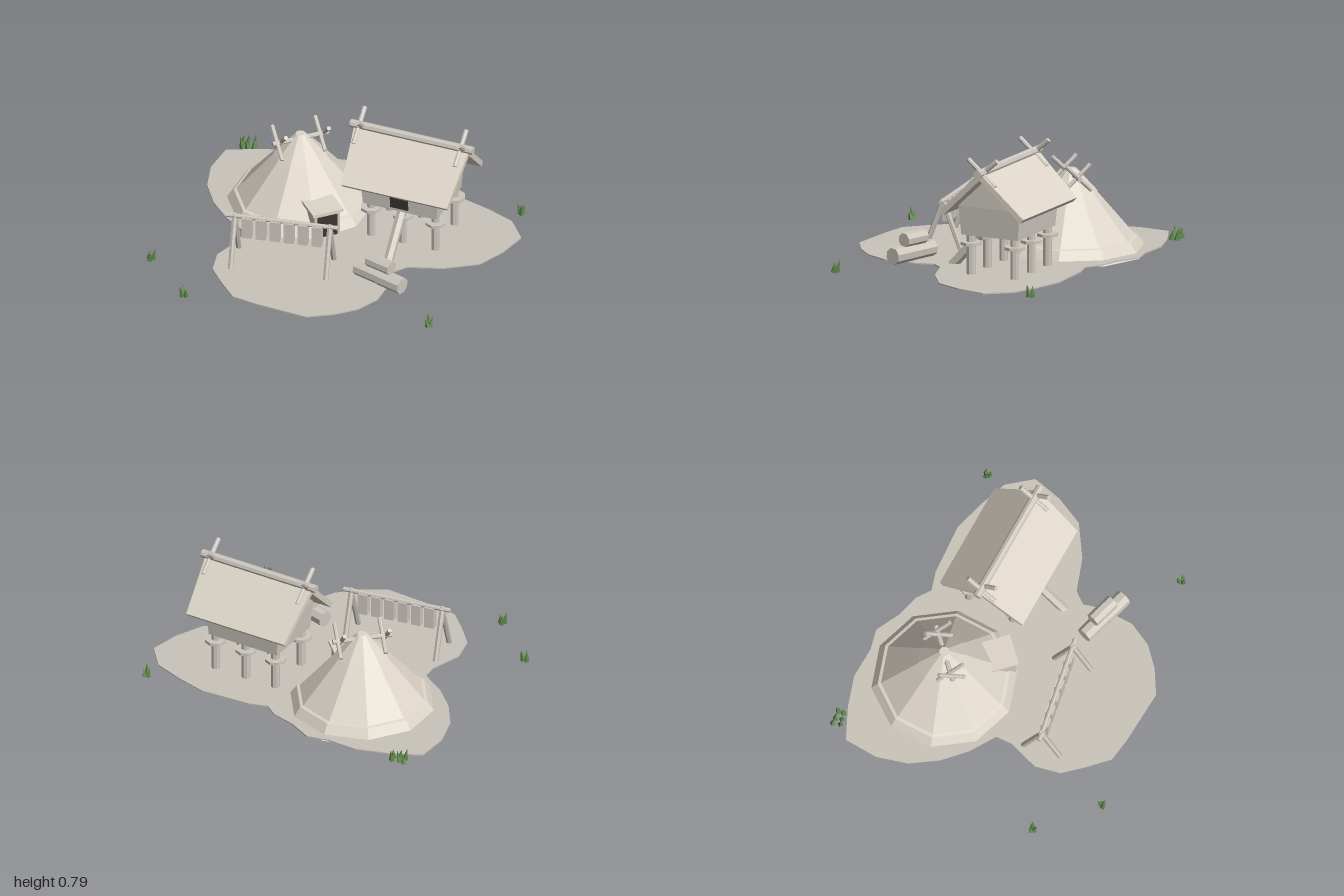
import * as THREE from 'three';

const mat = (name, color) => {
  const m = new THREE.MeshStandardMaterial({ color, flatShading: true });
  m.name = name;
  return m;
};

export function createModel() {
  const earth = mat('earth', 0xcac4ba), thatch = mat('thatch', 0xddd5c9), wood = mat('wood', 0xcdc7be);
  const wall = mat('wall', 0xd0cac1), dark = mat('doorway', 0x3a342d), green = mat('grass', 0x5e8a4c);
  const model = new THREE.Group();
  model.name = 'village';

  const group = (name, x = 0, y = 0, z = 0, parent = model) => {
    const g = new THREE.Group();
    g.name = name;
    g.position.set(x, y, z);
    parent.add(g);
    return g;
  };
  const add = (parent, name, geo, material, x = 0, y = 0, z = 0) => {
    const m = new THREE.Mesh(geo, material);
    m.name = name;
    m.position.set(x, y, z);
    parent.add(m);
    return m;
  };
  const box = (parent, name, w, h, d, material, x, y, z) =>
    add(parent, name, new THREE.BoxGeometry(w, h, d), material, x, y, z);
  // Round pole between two points
  const pole = (parent, name, a, b, r, sides = 8) => {
    const A = new THREE.Vector3(...a), B = new THREE.Vector3(...b), dir = B.clone().sub(A);
    const m = add(parent, name, new THREE.CylinderGeometry(r, r, dir.length(), sides), wood);
    m.position.copy(A).add(B).multiplyScalar(0.5);
    m.quaternion.setFromUnitVectors(new THREE.Vector3(0, 1, 0), dir.normalize());
    return m;
  };
  const lathe = pts => new THREE.LatheGeometry(pts.map(p => new THREE.Vector2(...p)), 10);

  // Ground: thin irregular plate
  const outline = [
    -.99, -.70, -.80, -.79, -.61, -.85, -.42, -.845, -.29, -.875, -.14, -.80, 0, -.765, .085, -.705,
    .20, -.74, .51, -.76, .70, -.71, .88, -.645, 1, -.50, .96, -.315, .88, -.14, .695, -.015,
    .495, .055, .44, .13, .47, .24, .47, .445, .40, .59, .29, .695, .145, .785, -.19, .77,
    -.34, .75, -.455, .64, -.565, .52, -.60, .365, -.54, .175, -.545, .075, -.70, -.02,
    -.835, -.145, -.945, -.305, -1, -.495];
  const pts = [];
  for (let i = 0; i < outline.length; i += 2) pts.push(new THREE.Vector2(outline[i], -outline[i + 1]));
  const groundGeo = new THREE.ExtrudeGeometry(new THREE.Shape(pts), { depth: 0.008, bevelEnabled: false });
  add(model, 'ground', groundGeo.rotateX(-Math.PI / 2), earth, 0, 0.036, 0);

  // Pit house: skirt, conical roof, smoke cap; local +z is the entrance side
  const hut = group('pitHouse', -0.37, 0, -0.37);
  add(hut, 'roofSkirt', lathe([[0, .012], [.46, .012], [.40, .1], [.38, .105]]), thatch);
  add(hut, 'coneRoof', lathe([[.385, .1], [.1, .437]]), thatch);
  add(hut, 'smokeCap', lathe([[.1, .37], [.16, .375], [.03, .52], [0, .52]]), thatch);
  const axis = group('hutAxis', 0, 0, 0, hut);
  axis.rotation.y = Math.PI / 4;
  box(axis, 'entranceWalls', .165, .19, .2, wall, 0, .107, .32);
  box(axis, 'entranceRoof', .195, .018, .22, thatch, 0, .21, .325);
  box(axis, 'entranceDoor', .125, .14, .006, dark, 0, .115, .423);
  pole(axis, 'smokeRidge', [-.18, .485, 0], [.18, .485, 0], .015);
  for (const x of [-.138, .138])
    for (const s of [-1, 1])
      pole(axis, 'crossedPole', [x + s * .012, .41, -s * .08], [x + s * .012, .565, s * .08], .013);

  // Raised storehouse
  const store = group('storehouse', 0.365, 0, -0.335);
  const bodyGeo = new THREE.BoxGeometry(.5, .18, .41);
  const p = bodyGeo.attributes.position;
  for (let i = 0; i < p.count; i++)
    if (p.getY(i) < 0) p.setXYZ(i, p.getX(i) * .95, p.getY(i), p.getZ(i) * .93);
  add(store, 'body', bodyGeo, wall, 0, .375, 0);
  const gable = new THREE.Shape([[-.205, 0], [.205, 0], [0, .192]].map(q => new THREE.Vector2(...q)));
  add(store, 'gables', new THREE.ExtrudeGeometry(gable, { depth: .5, bevelEnabled: false })
    .translate(0, 0, -.25).rotateY(Math.PI / 2), wall, 0, .463, 0);
  box(store, 'door', .115, .1, .008, dark, 0, .36, .203).rotation.x = .08;

  // Roof slabs narrow towards the eaves
  const slab = new THREE.Shape([[-.37, 0], [-.34, -.385], [.34, -.385], [.37, 0]].map(q => new THREE.Vector2(...q)));
  const slabGeo = new THREE.ExtrudeGeometry(slab, { depth: .034, bevelEnabled: false })
    .translate(0, 0, -.034).rotateX(-47 * Math.PI / 180);
  for (const turn of [0, Math.PI])
    add(store, 'roofSlab', slabGeo, thatch, 0, .705, 0).rotation.y = turn;
  pole(store, 'ridgeBeam', [-.395, .7, 0], [.395, .7, 0], .026);
  for (const x of [-.33, .325])
    for (const s of [-1, 1])
      pole(store, 'crossedPole', [x + s * .012, .62, -s * .09], [x + s * .012, .775, s * .09], .015);

  // Posts with rat guards
  for (const x of [-.205, 0, .21])
    for (const z of [-.155, .14]) {
      pole(store, 'post', [x, .012, z], [x, .29, z], .027);
      add(store, 'postGuard', new THREE.CylinderGeometry(.065, .065, .018, 8), wood, x, .234, z);
    }
  pole(store, 'ladderLog', [0, .02, .385], [0, .28, .145], .03, 6);

  // Drying rack: two A-frames, rail and hanging bundles
  const rack = group('dryingRack', -0.205, 0, 0.305);
  rack.rotation.y = 0.176;
  pole(rack, 'rail', [-.34, .342, 0], [.34, .342, 0], .014);
  for (const x of [-.29, .29])
    for (const s of [-1, 1])
      pole(rack, 'rackLeg', [x, .014, s * .125], [x, .352, -s * .005], .017, 6);
  for (let i = 0; i < 6; i++)
    box(rack, 'hangingBundle', .06, .135, .048, wall, (i - 2.5) * .085, .273, 0);

  // Log pile
  const logs = group('logPile');
  for (const [x, y, z, r] of [[.335, .095, .26, .05], [.498, .095, .307, .052], [.415, .18, .275, .044]])
    pole(logs, 'log', [x - .082, y, z - .023], [x + .082, y, z + .023], r);

  // Grass tufts: each a few leaning blades
  const tufts = [[-.91, -.82], [-.85, -.815], [-.905, -.78], [.89, -.765], [-.95, .545], [.852, .57], [-.62, .835]];
  tufts.forEach(([x, z], k) => {
    const tuft = group('grassTuft', x, .028, z);
    tuft.rotation.y = k * 1.7;
    const blades = k < 3 ? 2 : 3;
    for (let i = 0; i < blades; i++) {
      const a = i * 2 * Math.PI / blades, h = .078 - i * .012;
      const blade = add(tuft, 'blade', new THREE.ConeGeometry(.018, h, 4), green,
        Math.cos(a) * .017, h / 2, Math.sin(a) * .017);
      blade.rotation.set(Math.sin(a) * .18, a, -Math.cos(a) * .18);
    }
  });
  return model;
}
